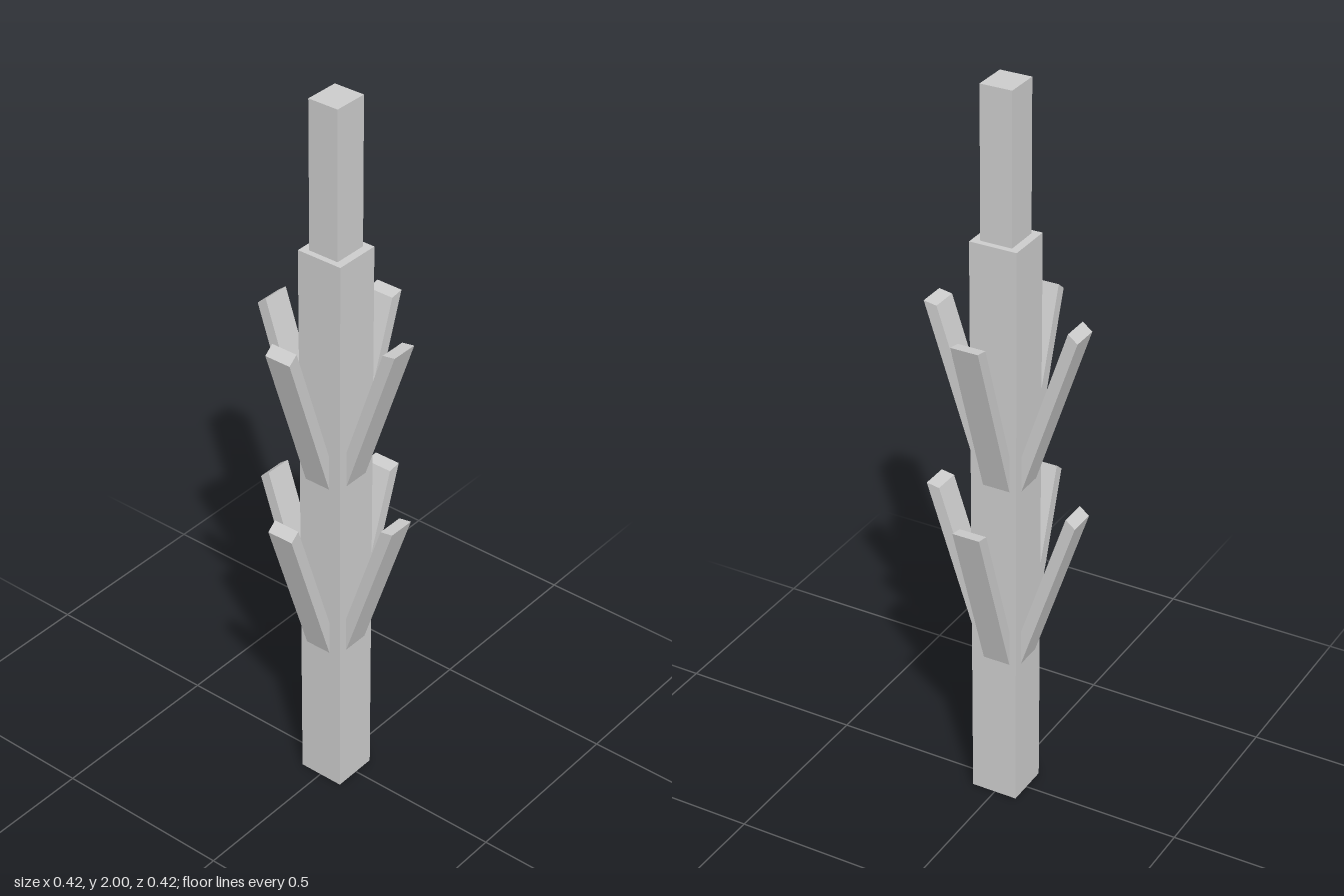
import * as THREE from 'three';

const material = new THREE.MeshStandardMaterial({ color: 0xcccccc, flatShading: true, side: THREE.DoubleSide });

// Square tube with a closed top and an open underside
function openBox(name, x0, x1, y0, y1, z0, z1) {
  const geo = new THREE.BoxGeometry(x1 - x0, y1 - y0, z1 - z0);
  const index = Array.from(geo.index.array);
  index.splice(18, 6); // drop the bottom face
  geo.setIndex(index);
  geo.clearGroups();
  const mesh = new THREE.Mesh(geo, material);
  mesh.name = name;
  mesh.position.set((x0 + x1) / 2, (y0 + y1) / 2, (z0 + z1) / 2);
  return mesh;
}

// Slanted branch: side profile given as [distance from axis, height], extruded sideways
function branch(name, profile, angle, width = 0.075) {
  const shape = new THREE.Shape(profile.map(([r, y]) => new THREE.Vector2(r, y)));
  const geo = new THREE.ExtrudeGeometry(shape, { depth: width, bevelEnabled: false });
  geo.translate(0, 0, -width / 2);
  geo.rotateY(angle);
  const mesh = new THREE.Mesh(geo, material);
  mesh.name = name;
  return mesh;
}

export function createModel() {
  const model = new THREE.Group();
  model.name = 'branchedPost';

  // Thick trunk and the thinner post on top
  model.add(openBox('trunk', -0.068, 0.059, 0, 1.6, -0.0625, 0.0665));
  model.add(openBox('topPost', -0.052, 0.043, 1.6, 2, -0.041, 0.045));

  // Two kinds of branch tip: level cut (left, front) and square cut (right, back)
  const level = [[0.211, 1.395], [0.175, 1.389]];
  const square = [[0.213, 1.384], [0.187, 1.405]];
  const slope = 3;
  const arms = [
    ['left', 0, level, 0.058],
    ['front', -Math.PI / 2, level, 0.0655],
    ['right', Math.PI, square, 0.067],
    ['back', Math.PI / 2, square, 0.0615],
  ];

  // Two tiers of four branches, each running down to the trunk's surface
  for (const [tier, drop] of [['Upper', 0], ['Lower', 0.517]]) {
    for (const [side, angle, [outer, inner], root] of arms) {
      const foot = ([r, y]) => [root, y - (r - root) * slope];
      const profile = [foot(outer), outer, inner, foot(inner)];
      const arm = branch(`${side}${tier}Branch`, profile, angle);
      const alongX = side === 'left' || side === 'right';
      arm.position.set(alongX ? 0 : -0.0055, -drop, alongX ? -0.006 : 0);
      model.add(arm);
    }
  }
  return model;
}
